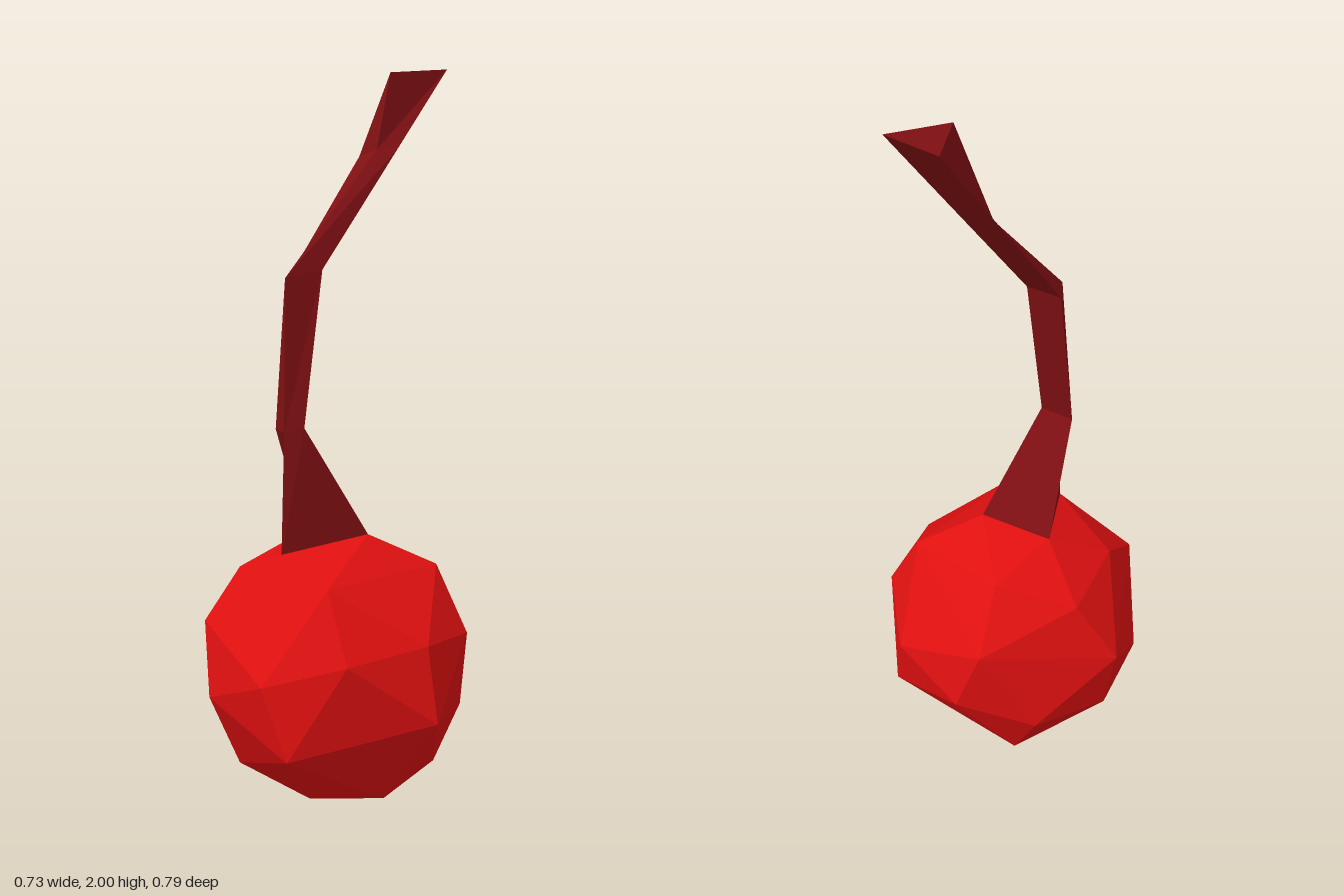
import * as THREE from 'three';
import { ConvexGeometry } from 'three/addons/geometries/ConvexGeometry.js';

const CENTRE_Y = 0.355;
const TILT = THREE.MathUtils.degToRad(-20.6);

// Point on the tilted fruit, from latitude, azimuth (degrees) and radius
function onFruit(lat, az, r) {
  const a = THREE.MathUtils.degToRad(lat), b = THREE.MathUtils.degToRad(az);
  return new THREE.Vector3(r * Math.cos(a) * Math.cos(b), r * Math.sin(a), r * Math.cos(a) * Math.sin(b))
    .applyAxisAngle(new THREE.Vector3(1, 0, 0), TILT)
    .add(new THREE.Vector3(0, CENTRE_Y, 0));
}

// Stem cross-sections: left, front and back corner of each
const stemSections = [
  [[-0.19, 0.70, -0.01], [0.06, 0.73, 0.065], [0, 0.715, -0.135]],
  [[-0.17, 1.03, -0.02], [-0.12, 1.04, 0.005], [-0.145, 1.03, -0.085]],
  [[-0.155, 1.44, -0.03], [-0.05, 1.46, 0], [-0.08, 1.45, -0.09]],
  [[0.15, 1.78, 0], [0.2, 1.785, 0.033], [0.157, 1.762, -0.078]],
  [[0.19, 1.985, 0.01], [0.365, 2.0, 0.055], [0.315, 1.97, -0.07]],
];

function fruitGeometry() {
  const points = stemSections[0].map((p) => new THREE.Vector3(...p));
  // Upper rings and equator
  for (const az of [0, 216, 288]) points.push(onFruit(58.5, az, 0.385));
  for (let i = 0; i < 5; i++) points.push(onFruit(30.6, 54 + 72 * i, 0.402));
  for (let i = 0; i < 10; i++) points.push(onFruit(0, 18 + 36 * i, 0.383));
  // Lower rings
  for (const az of [18, 90, 162, 306]) points.push(onFruit(-30.6, az, 0.402));
  points.push(onFruit(-31.7, 216, 0.383));
  for (const az of [36, 180, 324]) points.push(onFruit(-58.5, az, 0.385));
  // Uneven underside
  points.push(new THREE.Vector3(-0.04, 0.04, 0.235), new THREE.Vector3(-0.09, 0, -0.16));
  return new ConvexGeometry(points);
}

function stemGeometry() {
  const positions = [];
  const tri = (a, b, c) => positions.push(...a, ...b, ...c);
  for (let s = 0; s < stemSections.length - 1; s++) {
    const low = stemSections[s], high = stemSections[s + 1];
    for (let i = 0; i < 3; i++) {
      const j = (i + 1) % 3;
      tri(low[i], low[j], high[j]);
      tri(low[i], high[j], high[i]);
    }
  }
  // Cut tip
  tri(...stemSections[stemSections.length - 1]);
  const geometry = new THREE.BufferGeometry();
  geometry.setAttribute('position', new THREE.Float32BufferAttribute(positions, 3));
  geometry.computeVertexNormals();
  return geometry;
}

export function createModel() {
  const fruitRed = new THREE.MeshStandardMaterial({ color: 0xe01010 });
  fruitRed.name = 'fruit red';
  const stemRed = new THREE.MeshStandardMaterial({ color: 0x801013 });
  stemRed.name = 'stem dark red';

  const group = new THREE.Group();
  group.name = 'cherry';
  const fruit = new THREE.Mesh(fruitGeometry(), fruitRed);
  fruit.name = 'fruit';
  const stem = new THREE.Mesh(stemGeometry(), stemRed);
  stem.name = 'stem';
  group.add(fruit, stem);
  return group;
}
